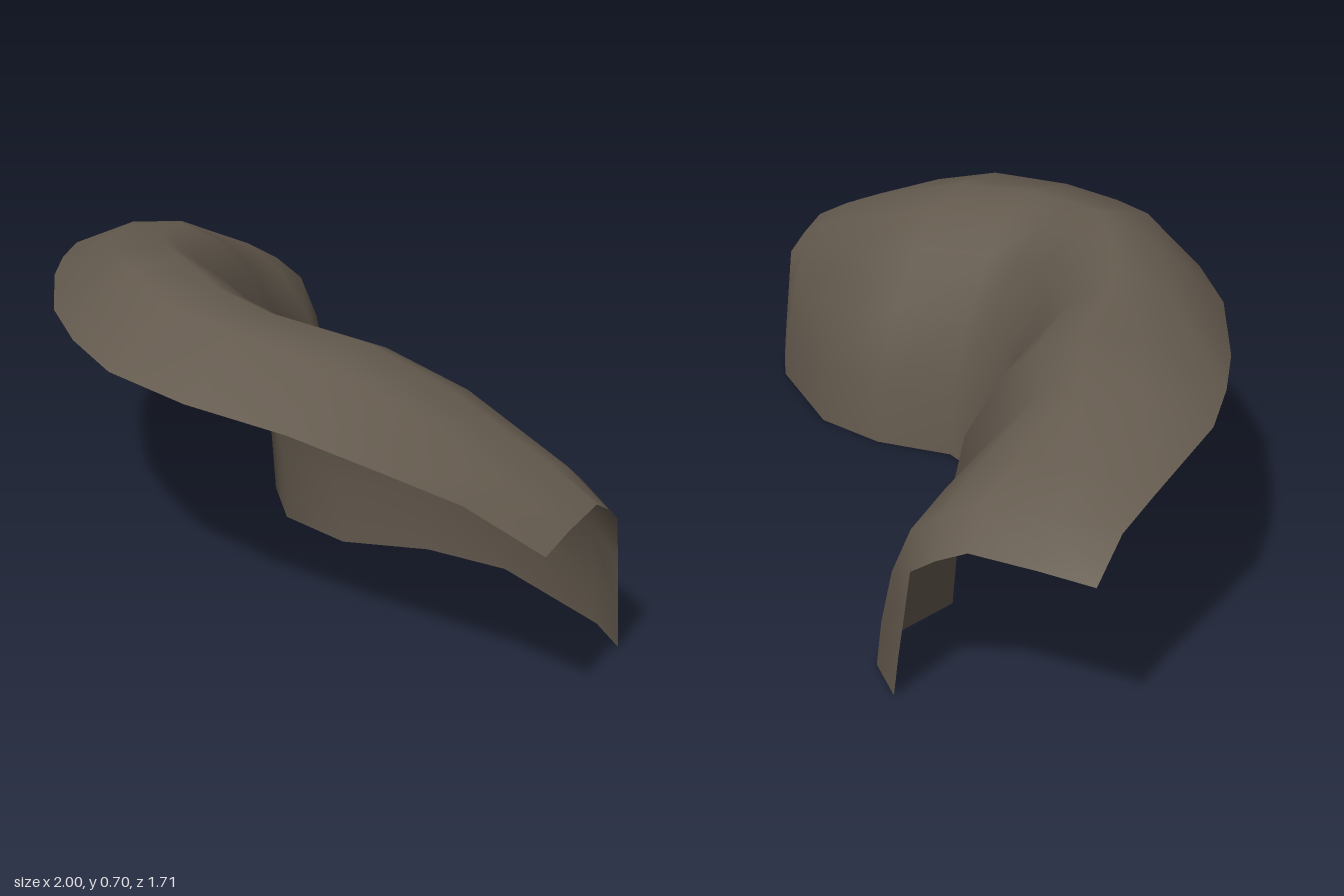
import * as THREE from 'three';

// Stations along the curve: foot of wall x, z | free rim x, y, z | crown height
const STATIONS = [
  [-0.545, -0.855, -1.0, 0.37, -0.77, 0.375],
  [-0.43, -0.78, -0.98, 0.44, -0.66, 0.43],
  [-0.37, -0.66, -0.96, 0.47, -0.52, 0.485],
  [-0.375, -0.46, -0.91, 0.51, -0.24, 0.58],
  [-0.23, -0.32, -0.83, 0.52, -0.07, 0.62],
  [-0.17, -0.06, -0.73, 0.525, 0.1, 0.655],
  [-0.105, 0.02, -0.53, 0.53, 0.37, 0.68],
  [-0.04, 0.1, -0.34, 0.53, 0.55, 0.7],
  [0.06, 0.135, -0.14, 0.525, 0.69, 0.67],
  [0.16, 0.17, 0.12, 0.52, 0.78, 0.65],
  [0.36, 0.11, 0.41, 0.52, 0.84, 0.62],
  [0.57, 0.125, 0.62, 0.485, 0.845, 0.555],
  [0.88, 0.3, 0.82, 0.45, 0.85, 0.455],
  [0.97, 0.39, 1.0, 0.38, 0.85, 0.39],
];

// Wall and shoulder: [fraction from foot to rim, fraction of crown height]
const MIDDLE = [[0, 0], [0.02, 0.25], [0.08, 0.54], [0.215, 0.79], [0.34, 0.925], [0.5, 1]];
const END = [[0, 0], [0.025, 0.25], [0.06, 0.54], [0.09, 0.8], [0.22, 0.905], [0.38, 1]];

function crossSection([fx, fz, rx, ry, rz, crown], endness) {
  const at = (t, y) => [fx + (rx - fx) * t, y, fz + (rz - fz) * t];
  const points = MIDDLE.map(([t, h], j) => at(
    THREE.MathUtils.lerp(t, END[j][0], endness),
    THREE.MathUtils.lerp(h, END[j][1], endness) * crown,
  ));
  // Canopy staying nearly level, then dropping to the free rim
  points.push(at(0.73, ry + (crown - ry) * 0.9), at(1, ry));
  return points;
}

// Skin consecutive cross-sections into one smooth open sheet
function loft(sections) {
  const n = sections[0].length;
  const index = [];
  for (let i = 0; i < sections.length - 1; i++) {
    for (let j = 0; j < n - 1; j++) {
      const a = i * n + j, b = a + n;
      index.push(a, a + 1, b, b, a + 1, b + 1);
    }
  }
  const geometry = new THREE.BufferGeometry();
  geometry.setAttribute('position', new THREE.Float32BufferAttribute(sections.flat(2), 3));
  geometry.setIndex(index);
  geometry.computeVertexNormals();
  return geometry;
}

export function createModel() {
  const stone = new THREE.MeshStandardMaterial({ color: 0x645a4e, side: THREE.DoubleSide });
  stone.name = 'brown stone';

  const last = STATIONS.length - 1;
  const sections = STATIONS.map((s, i) =>
    crossSection(s, Math.max(0, 1 - Math.min(i, last - i) / 2)));

  const shell = new THREE.Mesh(loft(sections), stone);
  shell.name = 'curvedOverhang';

  const group = new THREE.Group();
  group.name = 'rockOverhang';
  group.add(shell);
  return group;
}
